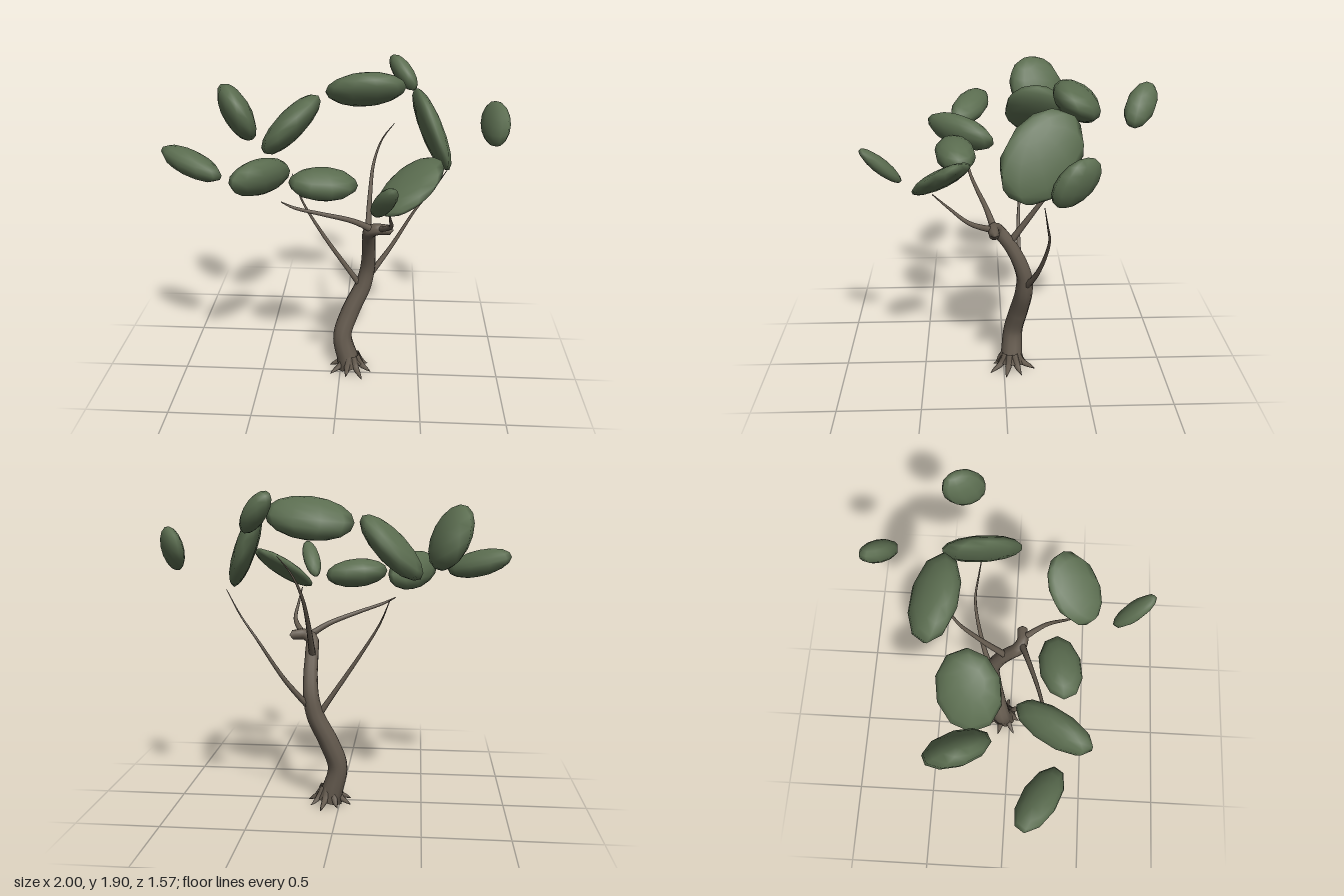
import * as THREE from 'three';

const bark = new THREE.MeshStandardMaterial({ color: 0x665c50 });
bark.name = 'bark brown';
bark.side = THREE.DoubleSide;
const leaf = new THREE.MeshStandardMaterial({ color: 0x5b6d50 });
leaf.name = 'leaf green';

// Tapered tube through points given as [x, y, z, radius]
function limb(name, pts, segments, sides) {
  const curve = new THREE.CatmullRomCurve3(pts.map(p => new THREE.Vector3(p[0], p[1], p[2])));
  const geo = new THREE.TubeGeometry(curve, segments, 1, sides);
  const pos = geo.attributes.position;
  const v = new THREE.Vector3();
  for (let i = 0; i <= segments; i++) {
    const u = i / segments;
    const centre = curve.getPointAt(u);
    const k = curve.getUtoTmapping(u) * (pts.length - 1);
    const a = Math.min(Math.floor(k), pts.length - 2);
    const r = THREE.MathUtils.lerp(pts[a][3], pts[a + 1][3], k - a);
    for (let j = 0; j <= sides; j++) {
      const n = i * (sides + 1) + j;
      v.fromBufferAttribute(pos, n).sub(centre).multiplyScalar(r).add(centre);
      pos.setXYZ(n, v.x, v.y, v.z);
    }
  }
  const mesh = new THREE.Mesh(geo, bark);
  mesh.name = name;
  return mesh;
}

// Slanted ellipsoid: centre, half extents, and how far it leans in the xy, xz and yz planes
function leafClump([cx, cy, cz], [hx, hy, hz], [xy, xz, yz]) {
  const b = Math.sqrt(1 - xy * xy);
  const c = (yz - xy * xz) / b;
  const d = Math.sqrt(Math.max(0.05, 1 - xz * xz - c * c));
  const geo = new THREE.SphereGeometry(1.02, 10, 8);
  geo.applyMatrix4(new THREE.Matrix4().set(
    hx, 0, 0, cx,
    hy * xy, hy * b, 0, cy,
    hz * xz, hz * c, hz * d, cz,
    0, 0, 0, 1));
  const mesh = new THREE.Mesh(geo, leaf);
  mesh.name = 'leafClump';
  return mesh;
}

export function createModel() {
  const tree = new THREE.Group();
  tree.name = 'tree';

  // Curved trunk ending in a sawn stub
  tree.add(limb('trunk', [
    [0.065, 0.03, -0.045, 0.085], [0.045, 0.09, -0.05, 0.068], [0.012, 0.24, -0.06, 0.06],
    [0.06, 0.4, -0.09, 0.059], [0.14, 0.58, -0.118, 0.053], [0.165, 0.7, -0.118, 0.047],
    [0.172, 0.82, -0.08, 0.043], [0.172, 0.93, -0.02, 0.04], [0.18, 1.015, 0.045, 0.04],
    [0.225, 1.037, 0.066, 0.034], [0.27, 1.035, 0.062, 0.031], [0.31, 1.03, 0.06, 0.029],
    [0.318, 1.03, 0.06, 0.001],
  ], 60, 10));

  // Roots flaring out around the foot
  const roots = new THREE.Group();
  roots.name = 'roots';
  for (let i = 0; i < 8; i++) {
    const a = i * Math.PI / 4 + 0.25;
    const len = 0.115 + 0.022 * Math.sin(i * 2.3);
    const at = (r, y, w) => [0.065 + Math.cos(a) * r, y, -0.045 + Math.sin(a) * r, w];
    roots.add(limb('root', [at(0.04, 0.11, 0.02), at(0.068, 0.05, 0.022), at(len, 0.015, 0.009), at(len + 0.02, 0.003, 0.001)], 8, 6));
  }
  tree.add(roots);

  // Thin branches
  const branches = [
    [[0.2, 1.03, 0.06, 0.022], [0.08, 1.1, 0.1, 0.016], [-0.1, 1.165, 0.16, 0.012], [-0.25, 1.215, 0.2, 0.009], [-0.32, 1.25, 0.205, 0.003]],
    [[0.24, 1.04, 0.07, 0.02], [0.3, 1.11, 0.2, 0.013], [0.295, 1.2, 0.31, 0.008], [0.285, 1.28, 0.4, 0.003]],
    [[0.165, 0.92, -0.03, 0.022], [0.17, 1.15, -0.19, 0.014], [0.19, 1.33, -0.31, 0.009], [0.24, 1.46, -0.37, 0.005], [0.31, 1.55, -0.39, 0.002]],
    [[0.14, 0.55, -0.11, 0.022], [0.06, 0.67, -0.1, 0.016], [-0.12, 0.94, -0.095, 0.011], [-0.24, 1.14, -0.12, 0.006], [-0.3, 1.29, -0.17, 0.002]],
    [[0.155, 0.61, -0.12, 0.022], [0.3, 0.8, -0.19, 0.014], [0.46, 1.06, -0.235, 0.008], [0.56, 1.2, -0.215, 0.005], [0.64, 1.34, -0.19, 0.002]],
  ];
  branches.forEach(p => tree.add(limb('branch', p, 20, 7)));

  // Leaf clumps of the crown
  const clumps = [
    [[0.36, 1.795, -0.70], [0.09, 0.105, 0.092], [-0.6, 0.45, -0.35]],
    [[0.13, 1.755, -0.395], [0.24, 0.115, 0.135], [0.2, 0.15, 0.45]],
    [[-0.63, 1.645, -0.23], [0.12, 0.175, 0.17], [-0.45, 0.3, 0.2]],
    [[-0.305, 1.585, -0.195], [0.175, 0.18, 0.175], [0.77, -0.1, 0]],
    [[0.525, 1.575, -0.18], [0.115, 0.225, 0.22], [-0.75, 0.5, -0.25]],
    [[0.91, 1.58, -0.31], [0.08, 0.123, 0.12], [0.1, 0.5, -0.35]],
    [[-0.82, 1.465, 0.195], [0.18, 0.09, 0.125], [-0.5, 0.55, -0.2]],
    [[-0.425, 1.415, 0.255], [0.145, 0.11, 0.205], [-0.1, -0.7, 0.3]],
    [[-0.075, 1.39, 0.28], [0.185, 0.088, 0.12], [-0.15, -0.2, 0]],
    [[0.395, 1.41, 0.345], [0.175, 0.128, 0.158], [0.75, -0.2, -0.65]],
    [[0.26, 1.44, 0.675], [0.068, 0.11, 0.105], [0.55, 0.5, 0.85]],
  ];
  const crown = new THREE.Group();
  crown.name = 'crown';
  clumps.forEach(c => crown.add(leafClump(...c)));
  tree.add(crown);
  return tree;
}
